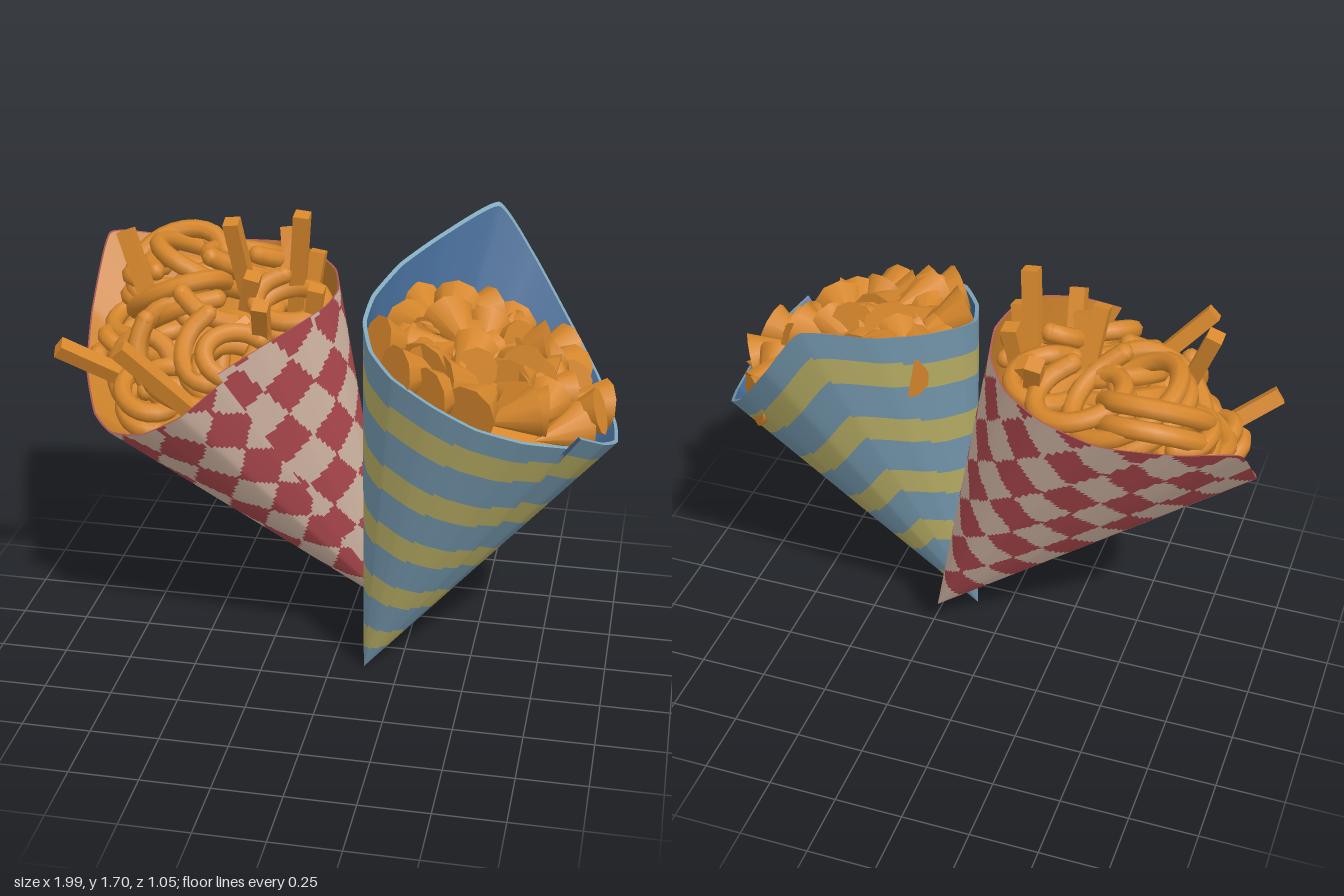
import * as THREE from 'three';

const mat = (name, color, extra = {}) => {
  const m = new THREE.MeshStandardMaterial({ color, ...extra });
  m.name = name;
  return m;
};
const V = (a) => new THREE.Vector3(...a);

// Seeded random numbers
function seeded(seed) {
  return () => {
    seed = (seed * 16807) % 2147483647;
    return seed / 2147483647;
  };
}

function add(parent, name, geometry, material) {
  const mesh = new THREE.Mesh(geometry, material);
  mesh.name = name;
  parent.add(mesh);
  return mesh;
}

// Ruled strip between two rows of points; pick(t, column) chooses the material group
function sheet(lower, upper, rows, pick = () => 0, flip = false) {
  const pos = [], lists = [[], []], n = upper.length;
  for (let j = 0; j <= rows; j++)
    for (let i = 0; i < n; i++) pos.push(...lower[i].clone().lerp(upper[i], j / rows).toArray());
  for (let j = 0; j < rows; j++) {
    for (let i = 0; i < n - 1; i++) {
      const a = j * n + i, b = a + 1, c = b + n, d = a + n;
      const list = lists[pick((j + 0.5) / rows, i)];
      list.push(...(flip ? [a, c, b, a, d, c] : [a, b, c, a, c, d]));
    }
  }
  const g = new THREE.BufferGeometry();
  g.setAttribute('position', new THREE.Float32BufferAttribute(pos, 3));
  g.setIndex([...lists[0], ...lists[1]]);
  g.addGroup(0, lists[0].length, 0);
  g.addGroup(lists[0].length, lists[1].length, 1);
  g.computeVertexNormals();
  return g;
}

// Rolled paper cone: outer sheet with a two-colour pattern, lining and lip
function paperCone(name, apex, rimPoints, patternFor, outer, lining, lip, thickness) {
  const group = new THREE.Group();
  group.name = name;
  const curve = new THREE.CatmullRomCurve3(rimPoints.map(V), false, 'catmullrom', 0.25);
  const segs = (rimPoints.length - 1) * 12;
  const rim = Array.from({ length: segs + 1 }, (_, i) => curve.getPoint(i / segs));
  const centre = rim.reduce((s, p) => s.add(p), new THREE.Vector3()).divideScalar(rim.length);
  const inner = rim.map((p) => p.clone().lerp(centre, thickness));
  const tip = V(apex), innerTip = tip.clone().lerp(centre, 0.05);
  add(group, 'patternedPaper', sheet(rim.map(() => tip), rim, 100, patternFor(rim, tip)), outer);
  add(group, 'paperLining', sheet(rim.map(() => innerTip), inner, 4, undefined, true), lining);
  add(group, 'paperLip', sheet(rim, inner, 1), lip);
  return group;
}

// Straight cut fry between two points
function stick(parent, from, to, width) {
  const a = V(from), b = V(to);
  const m = add(parent, 'straightFry', new THREE.BoxGeometry(width, a.distanceTo(b), width), parent.userData.mat);
  m.position.copy(a).lerp(b, 0.5);
  m.quaternion.setFromUnitVectors(new THREE.Vector3(0, 1, 0), b.sub(a).normalize());
}

// Curly fry: a short coil with rounded ends
function curl(parent, position, rotation, radius, turns) {
  const coil = new THREE.Group();
  coil.name = 'curlyFry';
  const steps = Math.ceil(turns * 12), pts = [];
  for (let i = 0; i <= steps; i++) {
    const a = (i / steps) * turns * Math.PI * 2;
    pts.push(new THREE.Vector3(Math.cos(a) * radius, (i / steps - 0.5) * turns * 0.075, Math.sin(a) * radius * 0.8));
  }
  const material = parent.userData.mat;
  add(coil, 'coil', new THREE.TubeGeometry(new THREE.CatmullRomCurve3(pts), steps * 2, 0.034, 8), material);
  for (const p of [pts[0], pts[steps]]) add(coil, 'coilEnd', new THREE.SphereGeometry(0.034, 8, 6), material).position.copy(p);
  coil.position.set(...position);
  coil.rotation.set(...rotation);
  parent.add(coil);
}

// Flattened mass that closes the cone below the loose pieces
function bed(parent, position, normal, rx, rz) {
  const m = add(parent, 'foodBed', new THREE.SphereGeometry(1, 24, 12), parent.userData.mat);
  m.scale.set(rx, 0.07, rz);
  m.position.set(...position);
  m.quaternion.setFromUnitVectors(new THREE.Vector3(0, 1, 0), V(normal).normalize());
}

export function createModel() {
  const blue = mat('paper blue', 0x7599af);
  const yellow = mat('stripe yellow', 0xbab066);
  const navy = mat('lining blue', 0x466b96, { side: THREE.DoubleSide });
  const red = mat('check red', 0xac484d);
  const cream = mat('check cream', 0xd2b6a4);
  const fried = mat('fried orange', 0xd6872c);
  const lipBlue = mat('lip blue', 0x7fa6ba, { side: THREE.DoubleSide });
  const lipRed = mat('lip red', 0xb05a5a, { side: THREE.DoubleSide });
  const brown = mat('lining orange', 0xc9802a, { side: THREE.DoubleSide });
  const model = new THREE.Group();
  model.name = 'snackCones';

  // Striped cone, starting at the corner of the overlapping flap
  const stripes = (rim) => (t, i) => {
    const s = (t - 0.905 + 0.04 * (1 - rim[i].x)) / 0.19;
    return Math.abs(s - Math.round(s)) < 0.21 ? 1 : 0;
  };
  model.add(paperCone('stripedCone', [0.12, 0.01, 0.15], [
    [0.885, 1.13, 0.4], [0.96, 1.06, 0.28], [0.995, 0.99, 0.1], [0.98, 0.985, -0.07], [0.9, 1.08, -0.26],
    [0.78, 1.22, -0.41], [0.63, 1.43, -0.51], [0.49, 1.62, -0.52], [0.3, 1.54, -0.36], [0.18, 1.48, -0.2],
    [0.11, 1.42, -0.03], [0.1, 1.37, 0.1], [0.15, 1.33, 0.26], [0.25, 1.3, 0.41], [0.4, 1.25, 0.5],
    [0.55, 1.19, 0.525], [0.7, 1.13, 0.47], [0.84, 1.08, 0.375], [0.91, 1.03, 0.26],
  ], stripes, [blue, yellow], navy, lipBlue, 0.03));

  // Checked cone: a square grid drawn on the unrolled paper
  const checks = (rim, tip) => {
    const rays = rim.map((p) => p.clone().sub(tip));
    const phi = [0];
    for (let i = 1; i < rays.length; i++) phi.push(phi[i - 1] + rays[i].angleTo(rays[i - 1]));
    const total = phi[phi.length - 1];
    return (t, i) => {
      const a = 0.6 + total - phi[i], r = t * rays[i].length();
      const cell = Math.floor((r * Math.cos(a)) / 0.145) + Math.floor((r * Math.sin(a)) / 0.145);
      return Math.abs(cell) % 2;
    };
  };
  model.add(paperCone('checkedCone', [0.21, 0.15, -0.06], [
    [-0.325, 1.29, 0.465], [-0.2, 1.36, 0.38], [-0.09, 1.41, 0.27], [-0.02, 1.43, 0.13], [-0.005, 1.435, -0.02],
    [-0.05, 1.44, -0.2], [-0.16, 1.44, -0.37], [-0.32, 1.43, -0.48], [-0.53, 1.41, -0.525], [-0.78, 1.42, -0.5],
    [-0.97, 1.43, -0.45], [-0.99, 1.2, -0.25], [-0.95, 1.05, -0.03], [-0.87, 0.96, 0.15], [-0.77, 0.95, 0.28],
    [-0.62, 1.01, 0.4], [-0.46, 1.12, 0.465], [-0.335, 1.23, 0.43], [-0.22, 1.32, 0.36],
  ], checks, [red, cream], brown, lipRed, 0.014));

  // Heap of small crisp cones
  const bites = new THREE.Group();
  bites.name = 'coneBites';
  bites.userData.mat = fried;
  model.add(bites);
  bed(bites, [0.53, 1.06, 0.04], [0.38, 1, 0], 0.33, 0.32);
  const rnd = seeded(41);
  const bite = new THREE.ConeGeometry(0.09, 0.21, 10);
  const count = 72;
  for (let i = 0; i < count; i++) {
    const q = (i + 0.5) / count, r = 0.335 * Math.sqrt(q), a = i * 2.39996;
    const x = 0.55 + r * Math.cos(a), z = 0.04 + r * Math.sin(a);
    const m = add(bites, 'coneBite', bite, fried);
    m.position.set(x, 1.19 - 0.38 * (x - 0.55) + 0.09 * (1 - q) + (rnd() - 0.5) * 0.04, z);
    // Lying on their sides, points in every direction
    m.rotation.set(Math.PI / 2 + (rnd() - 0.5) * 1.1, rnd() * 6.28, rnd() * 6.28, 'YXZ');
    m.scale.setScalar(0.85 + rnd() * 0.3);
  }

  // Curly and straight fries
  const fries = new THREE.Group();
  fries.name = 'fries';
  fries.userData.mat = fried;
  model.add(fries);
  bed(fries, [-0.46, 1.12, -0.04], [-0.32, 1, 0.3], 0.39, 0.38);
  const curls = [
    [-0.65, 1.36, -0.28, 0.18], [-0.55, 1.4, -0.25, 0.2], [-0.4, 1.4, -0.29, 0.15], [-0.71, 1.22, -0.1, 0.16],
    [-0.6, 1.32, -0.1, 0.19], [-0.42, 1.34, -0.05, 0.18], [-0.25, 1.37, -0.2, 0.13], [-0.17, 1.37, 0.02, 0.12],
    [-0.69, 1.1, 0.08, 0.14], [-0.55, 1.2, 0.12, 0.18], [-0.38, 1.26, 0.2, 0.15], [-0.5, 1.13, 0.26, 0.13],
    [-0.75, 1.31, -0.26, 0.1], [-0.64, 1.06, 0.2, 0.12], [-0.32, 1.26, 0.27, 0.11], [-0.78, 1.14, -0.02, 0.1],
  ];
  for (const [x, y, z, r] of curls)
    curl(fries, [x, y, z], [0.3 + (rnd() - 0.5) * 0.9, rnd() * 6.28, 0.3 + (rnd() - 0.5) * 0.7], r, 1.3 + rnd() * 0.7);
  const sticks = [
    [[-0.18, 1.25, -0.1], [-0.135, 1.7, -0.02]], [[-0.36, 1.3, -0.17], [-0.4, 1.64, -0.07]],
    [[-0.2, 1.25, -0.2], [-0.25, 1.54, -0.33]], [[-0.68, 1.32, 0.0], [-0.78, 1.59, -0.05]],
    [[-0.66, 1.02, 0.05], [-0.97, 1.23, 0.2]], [[-0.42, 1.08, 0.36], [-0.67, 1.35, 0.45]],
    [[-0.25, 1.2, 0.12], [-0.22, 1.47, 0.27]], [[-0.15, 1.2, -0.08], [-0.1, 1.53, -0.13]],
    [[-0.35, 1.25, 0.0], [-0.29, 1.5, 0.08]], [[-0.1, 1.25, 0.05], [-0.06, 1.48, 0.1]],
    [[-0.3, 1.3, -0.2], [-0.2, 1.52, -0.3]], [[-0.5, 1.2, 0.3], [-0.3, 1.33, 0.1]],
  ];
  for (const [from, to] of sticks) stick(fries, from, to, 0.055);
  return model;
}
